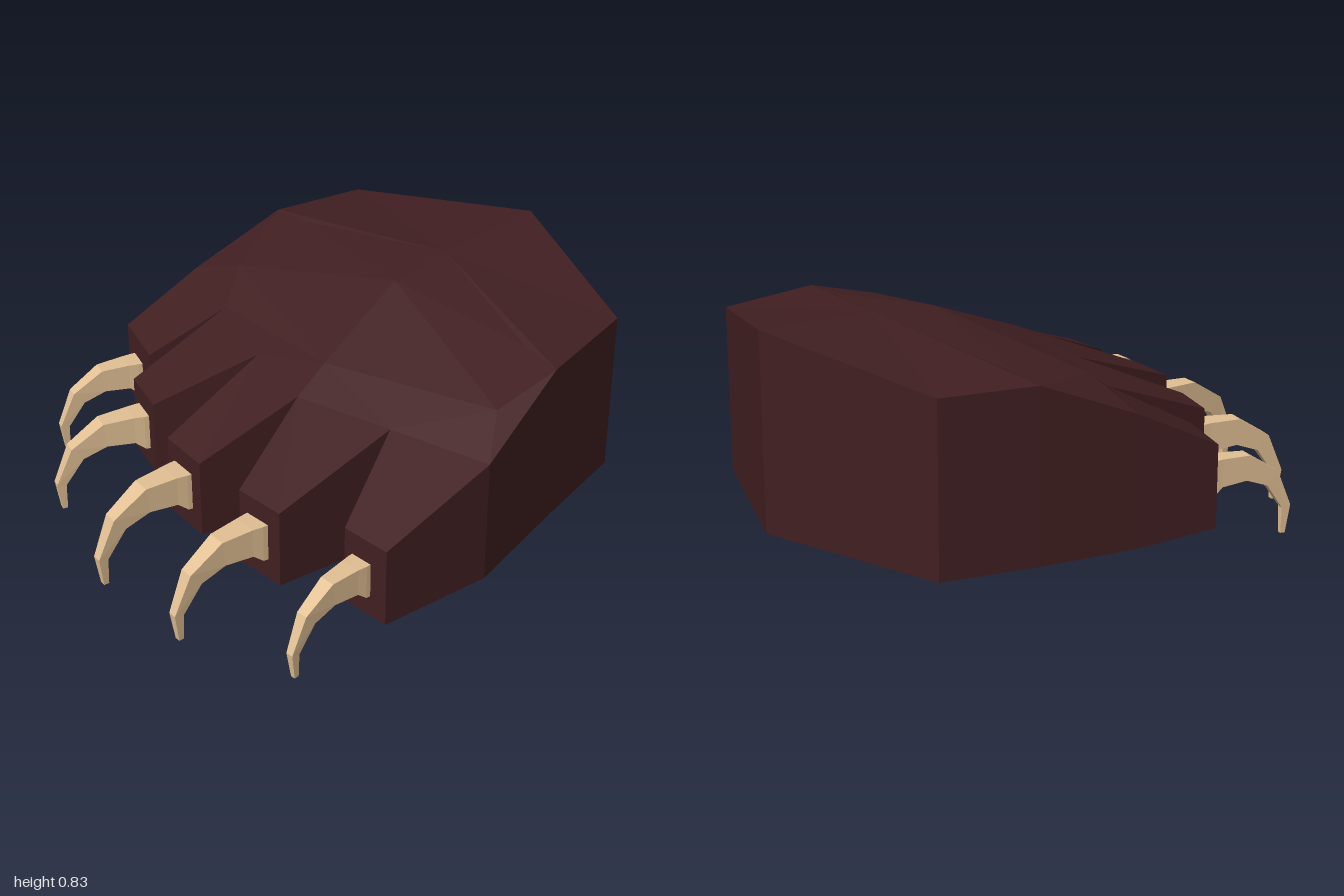
import * as THREE from 'three';

const mat = (name, color) => Object.assign(new THREE.MeshStandardMaterial({ color, flatShading: true }), { name });

// Flat-faced geometry from a list of convex faces (corner loops, counter-clockwise)
function facesGeometry(faces) {
  const pos = [];
  for (const f of faces)
    for (let i = 1; i < f.length - 1; i++) pos.push(...f[0], ...f[i], ...f[i + 1]);
  const g = new THREE.BufferGeometry();
  g.setAttribute('position', new THREE.Float32BufferAttribute(pos, 3));
  g.computeVertexNormals();
  return g;
}

export function createModel() {
  const group = new THREE.Group();
  const fur = mat('dark fur', 0x411f21);
  const sole = mat('brown sole', 0x5d3120);
  const padGrey = mat('grey pad', 0x61635f);
  const horn = mat('claw horn', 0xe2c094);
  const add = (name, geometry, material, parent = group) => {
    const m = new THREE.Mesh(geometry, material);
    m.name = name;
    parent.add(m);
    return m;
  };

  // Upper rim of the paw: back and sides
  const tip = [0.045, 0.83, -1];
  const backL = [-0.665, 0.73, -0.765], backR = [0.685, 0.73, -0.775];
  const midL = [-0.75, 0.73, -0.42], midR = [0.77, 0.73, -0.36];
  // Knuckle line: side corner, four gaps between the toes, side corner
  const gaps = [
    [-0.82, 0.58, -0.06], [-0.515, 0.58, 0.05], [-0.18, 0.58, 0.18],
    [0.125, 0.58, 0.26], [0.49, 0.58, 0.16], [0.865, 0.58, 0.06],
  ];
  // Front corners of each toe
  const toes = [
    [[-0.87, 0.425, 0.25], [-0.64, 0.425, 0.325]],
    [[-0.55, 0.425, 0.47], [-0.365, 0.425, 0.525]],
    [[-0.165, 0.425, 0.62], [0.035, 0.425, 0.638]],
    [[0.245, 0.425, 0.635], [0.44, 0.425, 0.625]],
    [[0.645, 0.425, 0.515], [0.835, 0.425, 0.505]],
  ];
  // Ridge points on the back of the paw
  const crown = [0.04, 0.82, -0.55], ridge = [0.04, 0.8, -0.29];
  const ridgeL = [-0.6, 0.738, -0.42], ridgeR = [0.6, 0.742, -0.38];
  const kL = [-0.6, 0.67, -0.09], kM = [0.1, 0.645, 0.11], kR = [0.74, 0.665, -0.1];

  // Fur: top faces
  const faces = [];
  const rear = [tip, backL, midL, ridgeL, ridge, ridgeR, midR, backR];
  rear.forEach((p, i) => faces.push([crown, p, rear[(i + 1) % rear.length]]));
  faces.push(
    [midL, kL, ridgeL], [ridgeL, kL, ridge], [kL, kM, ridge],
    [ridge, kM, kR], [ridge, kR, ridgeR], [ridgeR, kR, midR],
    [midL, gaps[0], kL], [midR, kR, gaps[5]],
    [kL, gaps[0], gaps[1]], [kL, gaps[1], kM], [kM, gaps[1], gaps[2]], [kM, gaps[2], gaps[3]],
    [kM, gaps[3], gaps[4]], [kM, gaps[4], kR], [kR, gaps[4], gaps[5]],
  );
  toes.forEach(([a, b], i) => faces.push([gaps[i], a, b], [gaps[i], b, gaps[i + 1]]));

  // Fur: walls dropped from the rim, with toe ends slightly raised
  const down = p => [p[0], p[1] < 0.5 ? 0.12 : 0.1, p[2]];
  const rim = [tip, backL, midL];
  toes.forEach(([a, b], i) => rim.push(gaps[i], a, b));
  rim.push(gaps[5], midR, backR);
  rim.forEach((p, i) => {
    const q = rim[(i + 1) % rim.length];
    faces.push([down(p), down(q), q, p]);
  });
  add('paw', facesGeometry(faces), fur);

  // Underside: brown sole around a central pad
  const padOutline = [[0.72, -0.07], [0.7, -0.31], [0.575, -0.62], [-0.57, -0.5],
    [-0.62, -0.43], [-0.62, -0.09], [0.09, 0.12]].map(p => new THREE.Vector2(...p));
  const soleOutline = [tip, backL, midL, ...gaps, midR, backR].map(p => new THREE.Vector2(p[0], p[2]));
  const soleShape = new THREE.Shape(soleOutline);
  soleShape.holes.push(new THREE.Path(padOutline));
  const flat = shape => new THREE.ShapeGeometry(shape).rotateX(Math.PI / 2).translate(0, 0.1, 0);
  add('sole', flat(soleShape), sole);
  add('palmPad', flat(new THREE.Shape(padOutline)), padGrey);

  // Toe pads
  toes.forEach(([a, b], i) => {
    const [g, h] = [gaps[i], gaps[i + 1]];
    add('toePad' + (i + 1), facesGeometry([[down(g), down(b), down(a)], [down(g), down(h), down(b)]]), padGrey);
  });

  // Claw cross-sections: width, top z, top y, bottom z, bottom y
  const sections = [
    [0.108, -0.04, 0.35, -0.04, 0.2], [0.104, 0.02, 0.352, 0.02, 0.205], [0.092, 0.06, 0.354, 0.06, 0.24],
    [0.07, 0.18, 0.352, 0.17, 0.25], [0.052, 0.31, 0.27, 0.265, 0.215],
    [0.034, 0.375, 0.12, 0.338, 0.11], [0.022, 0.358, 0.002, 0.338, 0.002],
  ];
  function clawGeometry(length, size) {
    const rings = sections.map(([w, tz, ty, bz, by]) => {
      const x = w / 2 * size * size, k = length / 0.375, y = v => 0.2 + (v - 0.2) * size;
      return [[x, y(ty), tz * k], [-x, y(ty), tz * k], [-x, y(by), bz * k], [x, y(by), bz * k]];
    });
    const f = [[...rings[0]].reverse(), rings[rings.length - 1]];
    for (let i = 0; i < rings.length - 1; i++)
      for (let j = 0; j < 4; j++) {
        const n = (j + 1) % 4;
        f.push([rings[i][j], rings[i][n], rings[i + 1][n], rings[i + 1][j]]);
      }
    return facesGeometry(f);
  }

  // Claws: root x, root z, tip x, tip z, size
  [
    [-0.765, 0.285, -0.857, 0.605, 0.9], [-0.46, 0.495, -0.563, 0.84, 0.96], [-0.07, 0.625, -0.105, 1, 1],
    [0.333, 0.625, 0.315, 1, 0.98], [0.722, 0.51, 0.741, 0.85, 0.9],
  ].forEach(([x, z, tx, tz, size], i) => {
    const claw = add('claw' + (i + 1), clawGeometry(Math.hypot(tx - x, tz - z), size), horn);
    claw.position.set(x, 0, z);
    claw.rotation.y = Math.atan2(tx - x, tz - z);
  });

  return group;
}
